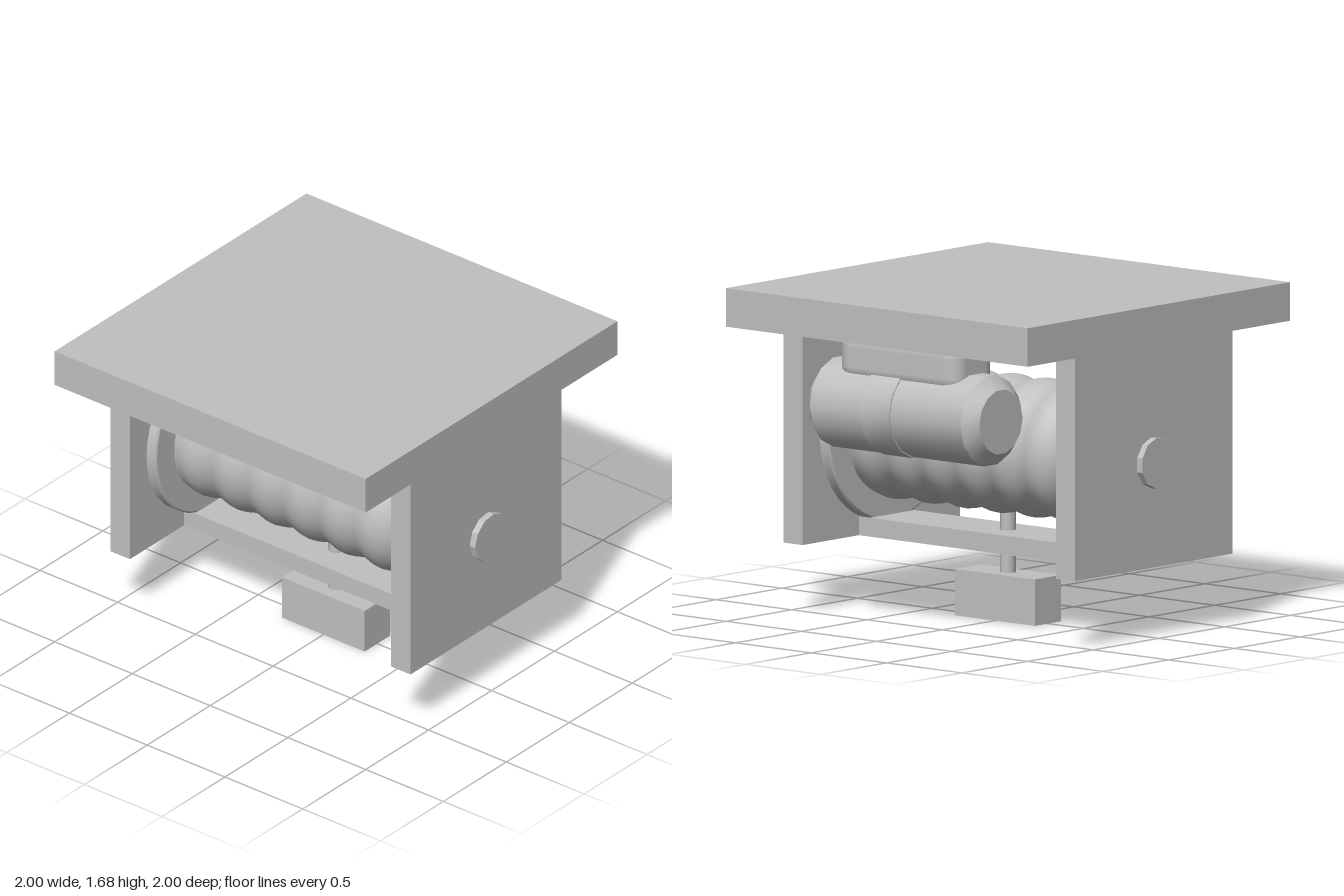
import * as THREE from 'three';
import { toCreasedNormals } from 'three/addons/utils/BufferGeometryUtils.js';
import { RoundedBoxGeometry } from 'three/addons/geometries/RoundedBoxGeometry.js';

export function createModel() {
  const group = new THREE.Group();
  group.name = 'winch';
  const steel = new THREE.MeshStandardMaterial({ color: 0xc0c0c0 });
  steel.name = 'grey steel';

  const add = (name, geometry, x, y, z) => {
    const mesh = new THREE.Mesh(geometry, steel);
    mesh.name = name;
    mesh.position.set(x, y, z);
    group.add(mesh);
    return mesh;
  };
  const box = (name, w, h, d, x, y, z) => add(name, new THREE.BoxGeometry(w, h, d), x, y, z);

  // Solid of revolution about the x axis; profile is [x, radius] with x ascending
  const turned = (profile, sides, crease = 0.6) => {
    const points = profile.map(([x, r]) => new THREE.Vector2(r, x));
    const g = new THREE.LatheGeometry(points, sides).rotateZ(-Math.PI / 2);
    return toCreasedNormals(g, crease);
  };

  // Frame
  box('topPlate', 2, 0.195, 2, 0, 1.5875, 0);
  box('bottomBar', 1.68, 0.095, 0.34, 0, 0.4025, 0);
  for (const [side, s] of [['left', 1], ['right', -1]]) {
    box(side + 'SidePlate', 0.125, 1.135, 1.2, s * 0.9025, 0.9225, 0);

    // Axle end showing outside the plate
    add(side + 'AxleEnd', turned([[-0.03, 0], [-0.03, 0.13], [0.03, 0.13], [0.03, 0]], 11, 0.3),
      s * 0.97, 0.887, 0);

    // Drum flange with a slightly bevelled rim
    add(side + 'Flange', turned([
      [-0.033, 0], [-0.033, 0.472], [-0.026, 0.482], [0.026, 0.482], [0.033, 0.472], [0.033, 0],
    ], 40), s * 0.802, 0.902, 0);
  }

  // Cable drum: seven wraps of rope make a rippled profile
  const wraps = [[-0.78, 0], [-0.78, 0.337]];
  const steps = 56;
  for (let i = 0; i <= steps; i++) {
    const x = -0.77 + (1.54 * i) / steps;
    wraps.push([x, 0.341 + 0.011 * Math.cos((x / 0.23) * Math.PI * 2)]);
  }
  wraps.push([0.78, 0.337], [0.78, 0]);
  add('cableDrum', turned(wraps, 40, 0.9), 0, 0.887, 0);

  // Hanging cable and weight
  add('cable', toCreasedNormals(new THREE.CylinderGeometry(0.04, 0.04, 0.5, 12), 0.6), 0, 0.45, 0);
  box('weight', 0.53, 0.235, 0.2, 0, 0.1175, 0);

  // Motor behind the drum, with chamfered ends and a raised band
  add('motor', turned([
    [-0.567, 0], [-0.567, 0.165], [-0.5, 0.231], [0.5, 0.231], [0.567, 0.165], [0.567, 0],
  ], 14, 0.5), 0, 1.132, -0.705);
  add('motorBand', turned([
    [-0.098, 0.22], [-0.098, 0.237], [0.098, 0.237], [0.098, 0.22],
  ], 14, 0.5), 0.067, 1.132, -0.705);

  // Rounded housing joining the motor to the top plate
  add('motorHousing', new RoundedBoxGeometry(0.8, 0.28, 0.32, 2, 0.09), 0, 1.39, -0.7);

  return group;
}
